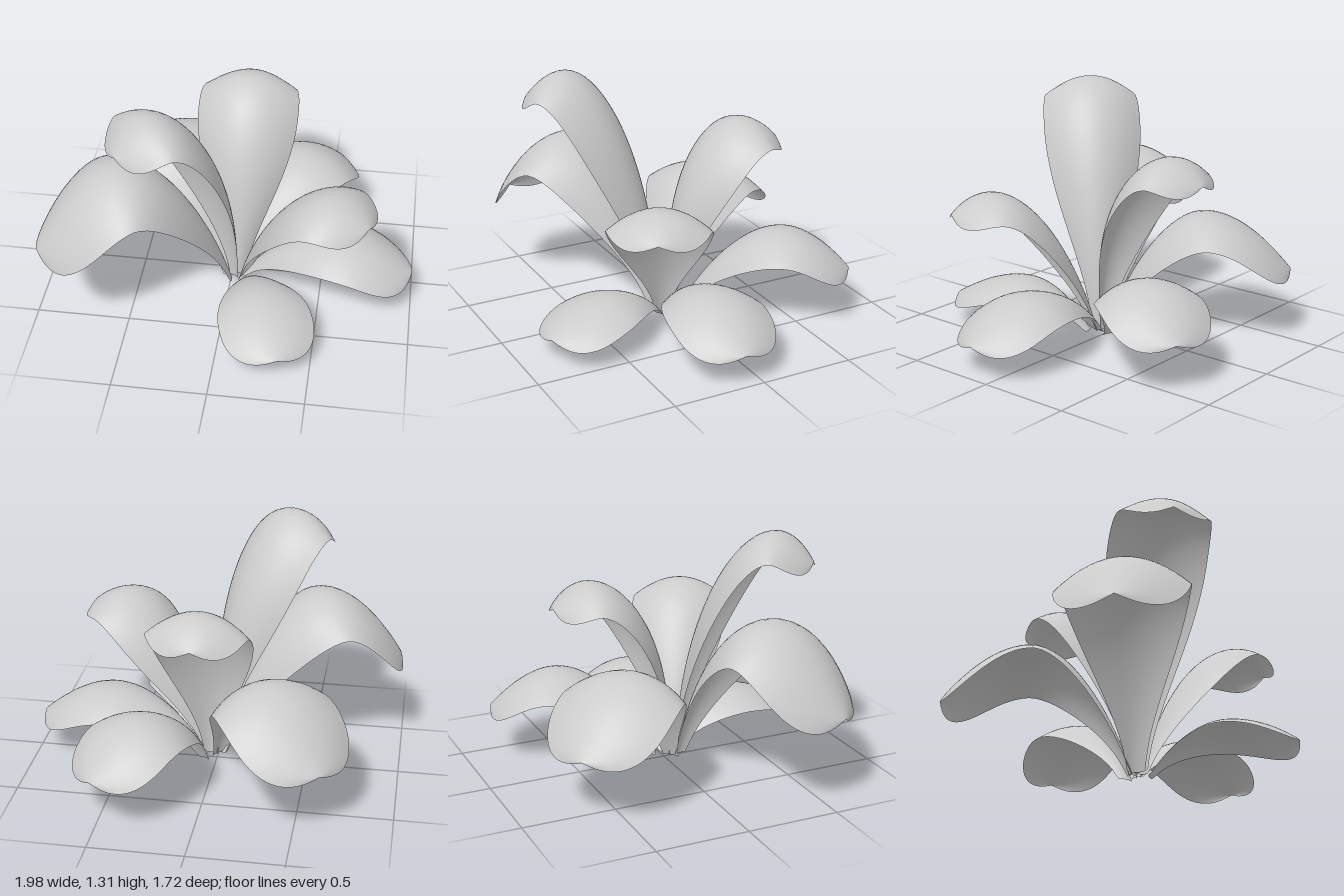
import * as THREE from 'three';

const ROWS = 40, COLS = 16, WIDEST = 0.68, BLUNT = 2.4;

// Half-width along the leaf (0..1): narrow stalk, broad blade, blunt rounded tip
function widthAt(t) {
  if (t < WIDEST) return 0.14 + 0.86 * Math.sin((Math.PI / 2) * t / WIDEST) ** 1.6;
  const x = Math.min(1, (t - WIDEST) / (1 - WIDEST));
  return Math.max(0.004, (1 - x ** BLUNT) ** (1 / BLUNT));
}

// Midrib in (outward distance, height): rises to a level peak, then droops to the tip
function midrib([pr, py], [tr, ty], lift) {
  const v = (r, y) => new THREE.Vector2(r, y);
  const path = new THREE.CurvePath();
  path.add(new THREE.CubicBezierCurve(v(0, 0), v((0.7 - lift) * pr, lift * py), v(0.6 * pr, py), v(pr, py)));
  path.add(new THREE.CubicBezierCurve(v(pr, py), v(pr + 0.4 * (tr - pr), py),
    v(pr + 0.75 * (tr - pr), ty + 0.45 * (py - ty)), v(tr, ty)));
  return path;
}

// Arched blade swept along its midrib; dir is the heading in (x, z)
function leafGeometry({ base, dir, width, arch, peak, tip, lift = 0.5 }) {
  const rib = midrib(peak, tip, lift);
  const chord = new THREE.Vector2(...tip).normalize();
  const [dx, dz] = new THREE.Vector2(...dir).normalize().toArray();
  const positions = [], index = [];
  for (let i = 0; i <= ROWS; i++) {
    const t = Math.sin((Math.PI / 2) * i / ROWS);
    const p = rib.getPoint(t), lean = rib.getTangent(t).lerp(chord, 0.45).normalize();
    const w = width * widthAt(t);
    for (let j = 0; j <= COLS; j++) {
      const s = 2 * j / COLS - 1;
      const drop = arch * w * s * s;
      const r = p.x + lean.y * drop;
      const y = Math.max(0, p.y - lean.x * drop);
      positions.push(base[0] + dx * r - dz * w * s, y, base[1] + dz * r + dx * w * s);
      if (i < ROWS && j < COLS) {
        const a = i * (COLS + 1) + j, b = a + COLS + 1;
        index.push(a, a + 1, b, b, a + 1, b + 1);
      }
    }
  }
  const g = new THREE.BufferGeometry();
  g.setAttribute('position', new THREE.Float32BufferAttribute(positions, 3));
  g.setIndex(index);
  g.computeVertexNormals();
  return g;
}

const LEAVES = {
  tallFrontRightLeaf: { base: [0.03, 0.08], dir: [-1, 1], width: 0.27, arch: 0.5, peak: [0.54, 1.31], tip: [0.75, 1.16], lift: 0.62 },
  longRightLeaf: { base: [0, 0.08], dir: [-0.9, 0.44], width: 0.34, arch: 0.5, peak: [0.6, 0.9], tip: [1.07, 0.48] },
  backRightLeaf: { base: [0, 0.05], dir: [-0.63, -0.78], width: 0.33, arch: 0.4, peak: [0.53, 0.66], tip: [1, 0.35] },
  tallBackLeaf: { base: [0.04, 0.05], dir: [0, -1], width: 0.275, arch: 0.5, peak: [0.45, 1.04], tip: [0.66, 0.92], lift: 0.7 },
  backLeftLeaf: { base: [0.06, -0.02], dir: [0.5, -0.87], width: 0.28, arch: 0.4, peak: [0.55, 0.475], tip: [0.92, 0.26] },
  lowLeftLeaf: { base: [0.06, 0.04], dir: [1, 0.07], width: 0.27, arch: 0.4, peak: [0.55, 0.35], tip: [0.94, 0.17] },
  frontLeftLeaf: { base: [0.05, 0.08], dir: [0.88, 0.48], width: 0.27, arch: 0.45, peak: [0.58, 0.83], tip: [0.8, 0.73] },
  lowFrontLeaf: { base: [0.09, 0.1], dir: [0.31, 0.95], width: 0.25, arch: 0.35, peak: [0.42, 0.255], tip: [0.79, 0.13] },
};

export function createModel() {
  const group = new THREE.Group();
  group.name = 'leafRosette';
  const material = new THREE.MeshStandardMaterial({ color: 0xcccccc, side: THREE.DoubleSide });
  for (const [name, leaf] of Object.entries(LEAVES)) {
    const mesh = new THREE.Mesh(leafGeometry(leaf), material);
    mesh.name = name;
    group.add(mesh);
  }
  return group;
}
